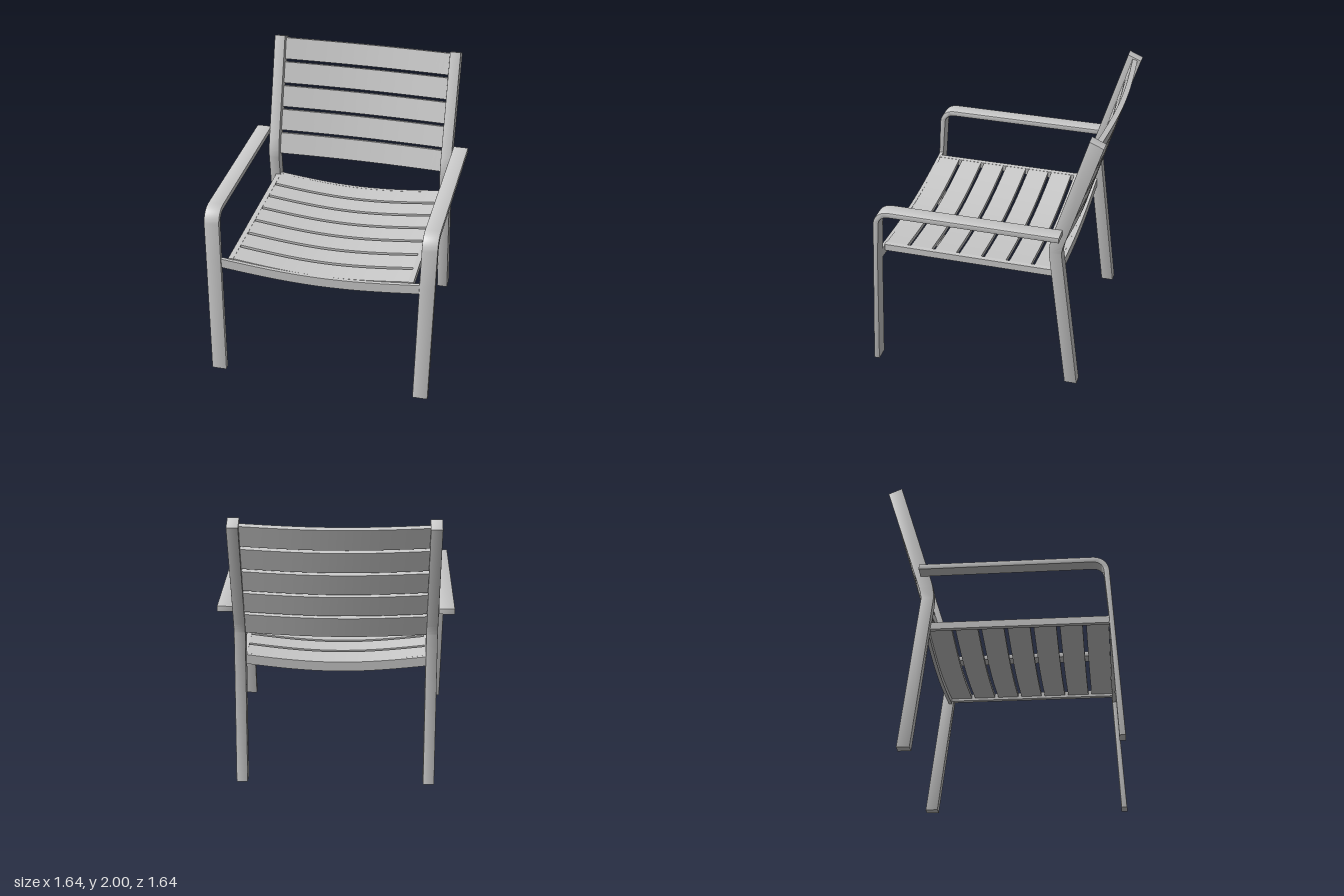
import * as THREE from 'three';
import { toCreasedNormals } from 'three/addons/utils/BufferGeometryUtils.js';

const material = new THREE.MeshStandardMaterial({ color: 0xcccccc });

function addMesh(parent, name, geometry) {
  const mesh = new THREE.Mesh(toCreasedNormals(geometry, 0.5), material);
  mesh.name = name;
  parent.add(mesh);
  return mesh;
}

// Side profile drawn in (z, y), given thickness in x and centred on x = 0
function sideExtrusion(shape, width, bevel) {
  const geometry = new THREE.ExtrudeGeometry(shape, {
    depth: width - 2 * bevel, curveSegments: 12,
    bevelEnabled: true, bevelSize: bevel, bevelThickness: bevel, bevelOffset: -bevel, bevelSegments: 2,
  });
  geometry.rotateY(-Math.PI / 2);
  return geometry.translate(width / 2 - bevel, 0, 0);
}

// Box whose middle is pushed along one axis, leaving its ends in place
function bowedBox(w, h, d, axis, amount) {
  const geometry = new THREE.BoxGeometry(w, h, d, 32, 1, 1);
  const p = geometry.attributes.position;
  for (let i = 0; i < p.count; i++) {
    const push = amount * Math.cos((Math.PI * p.getX(i)) / w);
    p.setComponent(i, axis, p.getComponent(i, axis) + push);
  }
  return geometry;
}

function backLegGeometry() {
  const shape = new THREE.Shape();
  shape.moveTo(-0.6, 0);
  shape.lineTo(-0.69, 0);
  shape.lineTo(-0.556, 1.1);
  shape.quadraticCurveTo(-0.56, 1.14, -0.572, 1.18);
  shape.lineTo(-0.817, 1.96);
  shape.lineTo(-0.72, 2);
  shape.lineTo(-0.488, 1.24);
  shape.quadraticCurveTo(-0.464, 1.16, -0.467, 1.09);
  shape.closePath();
  return sideExtrusion(shape, 0.08, 0.004);
}

// Front leg and armrest are one bent bar
function armGeometry(side) {
  const shape = new THREE.Shape();
  shape.moveTo(0.78, 0);
  shape.lineTo(0.822, 0);
  shape.lineTo(0.772, 0.9);
  shape.lineTo(0.756, 1.2);
  shape.bezierCurveTo(0.748, 1.265, 0.705, 1.305, 0.64, 1.305);
  shape.lineTo(-0.56, 1.305);
  shape.lineTo(-0.56, 1.265);
  shape.lineTo(0.635, 1.265);
  shape.bezierCurveTo(0.685, 1.265, 0.712, 1.24, 0.716, 1.2);
  shape.lineTo(0.738, 0.9);
  shape.closePath();
  const geometry = sideExtrusion(shape, 0.11, 0.006);
  // Legs lean slightly inward towards the floor
  const p = geometry.attributes.position;
  for (let i = 0; i < p.count; i++) {
    const lean = 0.018 * Math.max(0, 1 - p.getY(i) / 1.2);
    p.setX(i, p.getX(i) + side * (0.766 - lean));
  }
  return geometry;
}

export function createModel() {
  const chair = new THREE.Group();
  chair.name = 'slattedArmchair';

  // Side frames
  for (const [label, side] of [['left', 1], ['right', -1]]) {
    const frame = new THREE.Group();
    frame.name = label + 'Frame';
    chair.add(frame);
    addMesh(frame, label + 'BackLeg', backLegGeometry()).position.x = side * 0.668;
    addMesh(frame, label + 'FrontLegAndArmrest', armGeometry(side));
    addMesh(frame, label + 'SeatRail', new THREE.BoxGeometry(0.036, 0.05, 1.25))
      .position.set(side * 0.643, 0.905, 0.118);
  }

  // Seat: two curved crossbars and seven dished slats
  const seat = new THREE.Group();
  seat.name = 'seat';
  chair.add(seat);
  addMesh(seat, 'frontCrossbar', bowedBox(1.44, 0.07, 0.025, 1, -0.05)).position.set(0, 0.895, 0.752);
  addMesh(seat, 'backCrossbar', bowedBox(1.28, 0.07, 0.025, 1, -0.05)).position.set(0, 0.895, -0.518);
  for (let i = 0; i < 7; i++) {
    addMesh(seat, 'seatSlat' + (i + 1), bowedBox(1.26, 0.03, 0.156, 1, -0.05))
      .position.set(0, 0.914, -0.427 + i * 0.1812);
  }

  // Reclined backrest: five slats bowed towards the rear
  const back = new THREE.Group();
  back.name = 'backrest';
  back.position.set(0, 1.105, -0.52);
  back.rotation.x = -0.284;
  chair.add(back);
  for (let i = 0; i < 5; i++) {
    addMesh(back, 'backSlat' + (i + 1), bowedBox(1.26, 0.161, 0.036, 2, -0.035))
      .position.y = 0.081 + i * 0.1838;
  }
  return chair;
}
